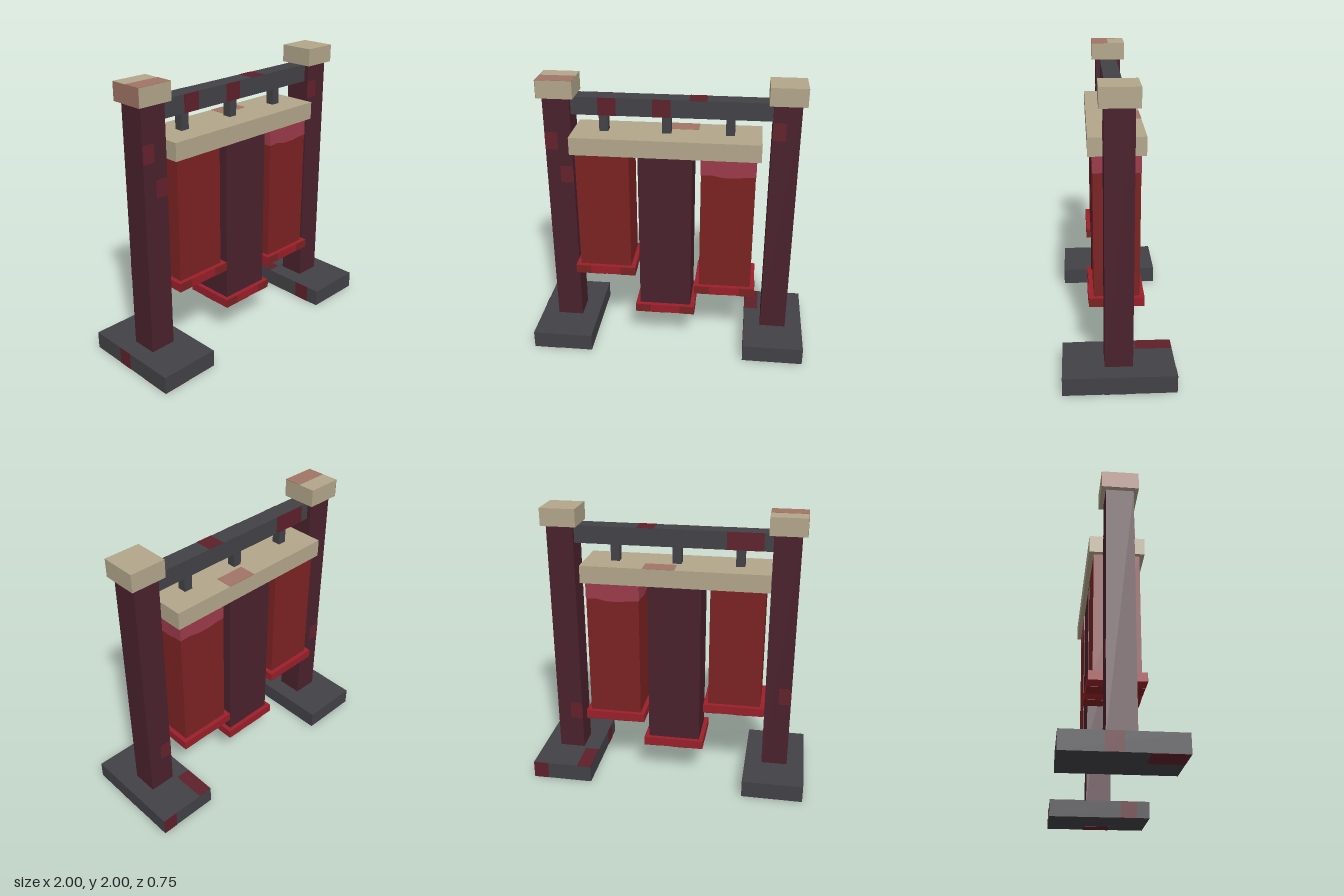
import * as THREE from 'three';

export function createModel() {
  const group = new THREE.Group();
  const mat = (name, color) => {
    const m = new THREE.MeshStandardMaterial({ color });
    m.name = name;
    return m;
  };
  const stone = mat('sandstone', 0xb3a68b);
  const iron = mat('dark iron', 0x424146);
  const maroon = mat('maroon wood', 0x4a212d);
  const red = mat('deep red', 0x7c2222);
  const bright = mat('bright red', 0x9a1f2a);
  const rose = mat('rose', 0x9c3a4a);
  const ironStain = mat('stain on iron', 0x5e202b);
  const woodStain = mat('stain on wood', 0x64222d);
  const stoneStain = mat('stain on stone', 0xa07566);

  // Box between two extents on each axis
  const box = (name, material, [x0, x1], [y0, y1], [z0, z1], parent = group) => {
    const m = new THREE.Mesh(new THREE.BoxGeometry(x1 - x0, y1 - y0, z1 - z0), material);
    m.position.set((x0 + x1) / 2, (y0 + y1) / 2, (z0 + z1) / 2);
    m.name = name;
    parent.add(m);
    return m;
  };
  // Thin plate lying on a face: a plain number becomes the thin axis
  const thin = (v) => (Array.isArray(v) ? v : [v - 0.002, v + 0.002]);
  const plate = (name, material, x, y, z, parent) =>
    box(name, material, thin(x), thin(y), thin(z), parent);

  // Two posts with feet and caps
  for (const s of [-1, 1]) {
    const side = s > 0 ? 'left' : 'right';
    const span = (a, b) => (s > 0 ? [a, b] : [-b, -a]);
    box(side + 'Foot', iron, span(0.5625, 1), [0, 0.125], [-0.375, 0.375]);
    box(side + 'Post', maroon, span(0.6875, 0.875), [0.125, 1.875], [-0.094, 0.094]);
    box(side + 'Cap', stone, span(0.656, 0.906), [1.875, 2], [-0.125, 0.125]);
  }

  // Beam, hanging plank and its three hooks
  box('beam', iron, [-0.6875, 0.6875], [1.75, 1.875], [-0.0625, 0.0625]);
  box('plank', stone, [-0.6875, 0.625], [1.5, 1.625], [-0.1875, 0.1875]);
  for (const x of [-0.47, -0.031, 0.406])
    box('hook', iron, [x - 0.031, x + 0.031], [1.625, 1.75], [-0.031, 0.031]);

  // Hanging blocks, each with a flared rim at the bottom
  const blocks = [
    [-0.469, 0.625, red],
    [-0.031, 0.3125, maroon],
    [0.406, 0.5, red],
  ];
  for (const [cx, bottom, material] of blocks) {
    const g = new THREE.Group();
    g.name = 'hangingBlock';
    g.position.x = cx;
    group.add(g);
    const rimY = [bottom - 0.0625, bottom];
    box('blockBody', material, [-0.1875, 0.1875], [bottom, 1.5], [-0.156, 0.156], g);
    box('blockRim', bright, [-0.219, 0.219], rimY, [-0.1875, 0.1875], g);
    plate('rimEnd', red, [-0.219, -0.11], rimY, 0.1875, g);
    plate('rimEnd', red, [0.11, 0.219], rimY, 0.1875, g);
    plate('rimSide', red, 0.219, rimY, [0.06, 0.1875], g);
    // Checkered patches underneath
    for (let i = 0; i < 4; i++)
      for (let j = 0; j < 3; j++)
        if ((i + j) % 2)
          plate('rimPatch', red, [-0.219 + i * 0.1095, -0.1095 + i * 0.1095], rimY[0],
            [-0.1875 + j * 0.125, -0.0625 + j * 0.125], g);
  }

  // Rose band with a wavy lower edge around one block
  const band = (half) => {
    const s = new THREE.Shape();
    s.moveTo(-half, 1.5);
    s.lineTo(-half, 1.378);
    s.lineTo(-half * 0.6, 1.382);
    s.lineTo(-half * 0.2, 1.366);
    s.lineTo(half * 0.3, 1.366);
    s.lineTo(half * 0.65, 1.376);
    s.lineTo(half, 1.378);
    s.lineTo(half, 1.5);
    return new THREE.ExtrudeGeometry(s, { depth: 0.003, bevelEnabled: false });
  };
  for (let i = 0; i < 4; i++) {
    const alongX = i % 2 === 0;
    const pivot = new THREE.Group();
    pivot.name = 'roseBand';
    pivot.position.x = 0.406;
    pivot.rotation.y = (i * Math.PI) / 2;
    const m = new THREE.Mesh(band(alongX ? 0.1875 : 0.156), rose);
    m.name = 'roseBandFace';
    m.position.z = alongX ? 0.156 : 0.1875;
    pivot.add(m);
    group.add(pivot);
  }

  // Stains on the beam
  const beamY = [1.75, 1.875];
  plate('beamStain', ironStain, [-0.5, -0.375], beamY, 0.0625);
  plate('beamStain', ironStain, [-0.125, 0], beamY, 0.0625);
  plate('beamStain', ironStain, [-0.625, -0.375], beamY, -0.0625);
  plate('beamStain', ironStain, [0.125, 0.245], 1.875, [-0.0625, 0.0625]);

  // Stains on the feet
  const footY = [0, 0.125];
  plate('footStain', ironStain, [0.5625, 0.667], 0.125, [-0.375, -0.125]);
  plate('footStain', ironStain, [0.89, 1], footY, -0.375);
  plate('footStain', ironStain, 0.5625, footY, [0.16, 0.28]);
  plate('footStain', ironStain, -1, footY, [-0.11, 0]);
  plate('footStain', ironStain, [0.87, 1], 0.002, [-0.1, 0.1]);
  plate('footStain', ironStain, [-1, -0.8], 0.002, [0.15, 0.375]).position.y = 0;
  group.children.filter((c) => c.name === 'footStain').slice(-2).forEach((c) => (c.position.y = 0));

  // Stains on the posts
  plate('postStain', woodStain, [-0.875, -0.785], [1.5, 1.625], 0.094);
  plate('postStain', woodStain, [-0.78, -0.6875], [1.25, 1.375], 0.094);
  plate('postStain', woodStain, [0.6875, 0.778], [1.625, 1.75], 0.094);
  plate('postStain', woodStain, [0.6875, 0.778], [0.375, 0.5], -0.094);
  plate('postStain', woodStain, [-0.875, -0.785], [0.625, 0.75], -0.094);

  // Stains on the cap and plank
  plate('capStain', stoneStain, [-0.906, -0.656], 2, [0, 0.125]);
  plate('capStain', stoneStain, -0.906, [1.875, 2], [-0.125, 0.125]);
  plate('plankStain', stoneStain, [-0.035, 0.185], 1.625, [-0.1875, -0.0625]);

  return group;
}
